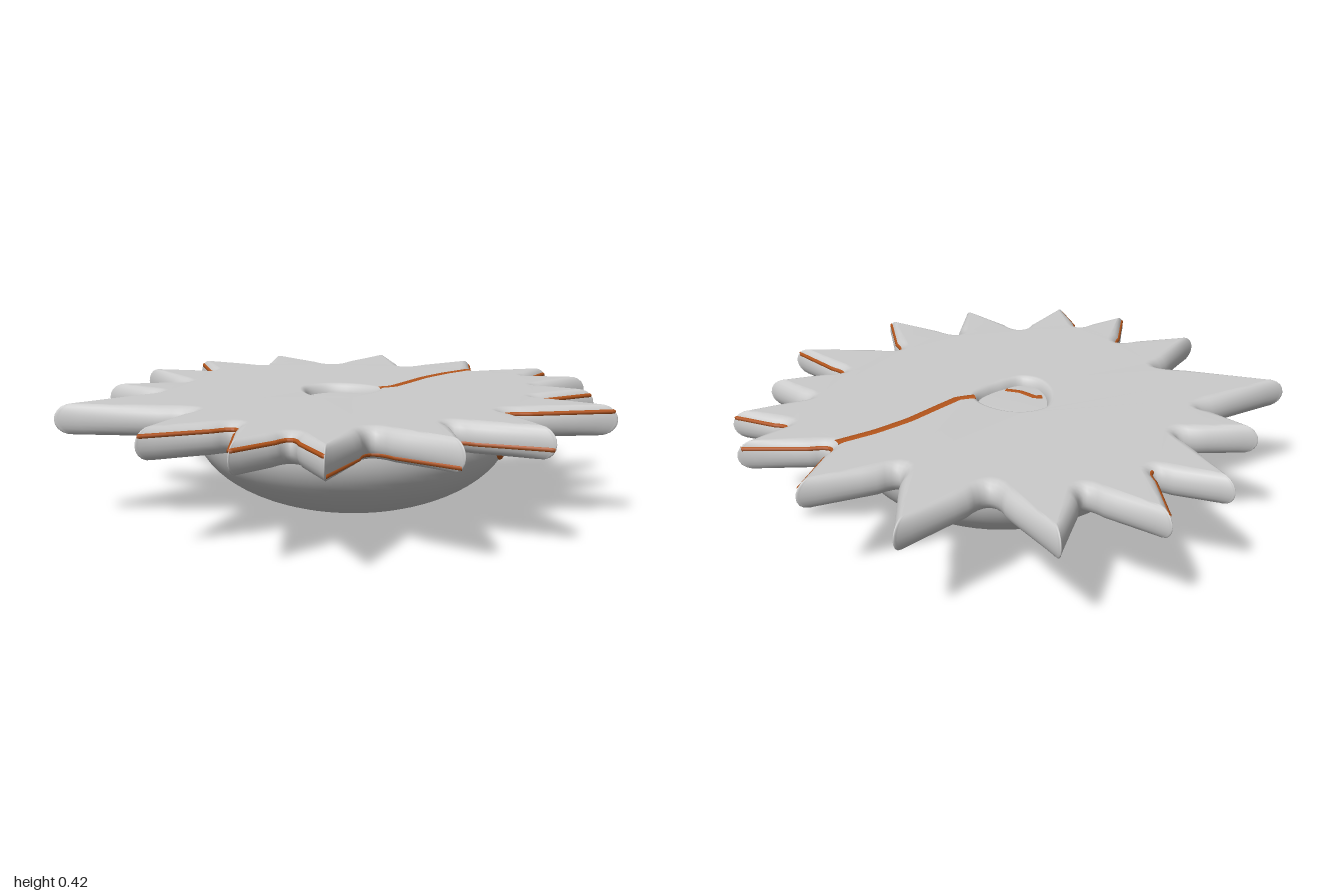
import * as THREE from 'three';

const grey = new THREE.MeshStandardMaterial({ color: 0xcccccc });
const orange = new THREE.MeshStandardMaterial({ color: 0xb5561c });
const V2 = (x, z) => new THREE.Vector2(x, z);

// Alternating tooth tips and valleys of the plate, in (x, z)
const CORNERS = [
  [0.045, -0.97], [0.2, -0.645], [0.51, -0.84], [0.46, -0.48], [0.785, -0.535], [0.675, -0.28],
  [0.975, -0.22], [0.82, -0.09], [1, 0.03], [0.745, 0.12], [0.875, 0.295], [0.615, 0.345],
  [0.78, 0.595], [0.39, 0.535], [0.39, 0.86], [0.135, 0.66], [0.055, 0.925], [-0.135, 0.67],
  [-0.36, 0.89], [-0.385, 0.655], [-0.595, 0.735], [-0.505, 0.455], [-0.81, 0.45], [-0.585, 0.18],
  [-1, -0.045], [-0.63, -0.2], [-0.76, -0.415], [-0.485, -0.39], [-0.555, -0.75], [-0.33, -0.635],
  [-0.3, -0.915], [-0.08, -0.715],
].map((c) => V2(...c));
const HOLE = [[-0.11, 0.04], [-0.1, -0.05], [-0.07, -0.11], [0, -0.13], [0.07, -0.1], [0.125, -0.03],
  [0.13, 0.03], [0.08, 0.08], [0.03, 0.11], [-0.04, 0.14], [-0.09, 0.11]];

const MID = 0.367, HALF = 0.053; // plate mid-height and half thickness
const K = 9, S = 4; // points per rounded corner, points per straight side

// Rounded outline; every point carries the inset that shapes the soft rim
function toothOutline() {
  const n = CORNERS.length, corners = [];
  CORNERS.forEach((c, i) => {
    const prev = CORNERS[(i + n - 1) % n], next = CORNERS[(i + 1) % n];
    const tip = i % 2 === 0, f = tip ? 0.04 : 0.23;
    const a = c.clone().lerp(prev, f), b = c.clone().lerp(next, f);
    const ctrl = c.clone().multiplyScalar(2).sub(a.clone().add(b).multiplyScalar(0.5));
    const curve = new THREE.QuadraticBezierCurve(a, ctrl, b);
    const axis = prev.clone().add(next).multiplyScalar(0.5).sub(c).normalize();
    const row = [];
    for (let k = 0; k < K; k++) {
      const p = curve.getPoint(k / (K - 1)), t = curve.getTangent(k / (K - 1));
      const inset = tip ? axis.clone().multiplyScalar(0.06)
        : V2(-t.y, t.x).multiplyScalar(0.03).addScaledVector(p.clone().normalize(), -0.02);
      row.push({ p, inset });
    }
    corners.push(row);
  });
  const out = [];
  corners.forEach((row, i) => {
    out.push(...row);
    const a = row[K - 1], b = corners[(i + 1) % n][0];
    for (let s = 1; s <= S; s++) {
      const t = s / (S + 1);
      out.push({ p: a.p.clone().lerp(b.p, t), inset: a.inset.clone().lerp(b.inset, t) });
    }
  });
  return out;
}

// Hole runs the other way round, so its wall faces inwards
function holeOutline() {
  const curve = new THREE.CatmullRomCurve3(HOLE.map(([x, z]) => new THREE.Vector3(x, 0, z)), true);
  return curve.getPoints(48).slice(0, 48).reverse().map((v) => {
    const p = V2(v.x, v.z);
    return { p, inset: p.clone().normalize().multiplyScalar(0.03) };
  });
}

const rimPoint = ({ p, inset }, sin) => {
  const q = p.clone().addScaledVector(inset, 1 - Math.sqrt(Math.max(0, 1 - sin * sin)));
  return new THREE.Vector3(q.x, MID + HALF * sin, q.y);
};

// Plate: rounded walls around both outlines, closed by two flat caps
function plateGeometry(outer, hole) {
  const pos = [], index = [], R = 10, starts = [];
  for (const loop of [outer, hole]) {
    const n = loop.length, base = pos.length / 3;
    starts.push(base);
    for (let j = 0; j <= R; j++) {
      const sin = Math.sin((j / R - 0.5) * Math.PI);
      loop.forEach((o) => pos.push(...rimPoint(o, sin).toArray()));
    }
    for (let j = 0; j < R; j++) for (let i = 0; i < n; i++) {
      const a = base + j * n + i, b = base + j * n + (i + 1) % n;
      index.push(a, a + n, b + n, a, b + n, b);
    }
  }
  const flat = (loop) => loop.map((o) => o.p.clone().add(o.inset));
  const A = flat(outer), B = flat(hole), all = [...A, ...B];
  const id = (k, j) => (k < A.length ? starts[0] + j * A.length + k : starts[1] + j * B.length + k - A.length);
  for (let [a, b, c] of THREE.ShapeUtils.triangulateShape(A, [B])) {
    const u = all[b].clone().sub(all[a]), v = all[c].clone().sub(all[a]);
    if (u.y * v.x - u.x * v.y < 0) [b, c] = [c, b];
    index.push(id(a, R), id(b, R), id(c, R), id(a, 0), id(c, 0), id(b, 0));
  }
  const g = new THREE.BufferGeometry();
  g.setAttribute('position', new THREE.Float32BufferAttribute(pos, 3));
  g.setIndex(index);
  g.computeVertexNormals();
  return g;
}

// Orange line lying on a surface; squash flattens it vertically
function line(points, radius, squash = 1) {
  const path = new THREE.CurvePath();
  const pts = points.map((p) => new THREE.Vector3(p.x, p.y / squash, p.z));
  for (let i = 1; i < pts.length; i++) path.add(new THREE.LineCurve3(pts[i - 1], pts[i]));
  const g = new THREE.TubeGeometry(path, pts.length * 3, radius, 6);
  return g.scale(1, squash, 1);
}

export function createModel() {
  const model = new THREE.Group();
  const add = (name, geometry, material) => {
    const m = new THREE.Mesh(geometry, material);
    m.name = name;
    model.add(m);
    return m;
  };

  const outer = toothOutline();
  add('toothedPlate', plateGeometry(outer, holeOutline()), grey);

  // Bowl: deep half ellipse below, shallow dome inside the plate
  const profile = [];
  for (let i = 0; i <= 40; i++) {
    const a = (i / 40 - 0.5) * Math.PI, s = Math.sin(a);
    profile.push(V2(Math.max(0, Math.cos(a)), 0.295 + s * (s < 0 ? 0.295 : 0.095)));
  }
  const bowl = add('bowl', new THREE.LatheGeometry(profile, 64), grey);
  bowl.scale.set(0.565, 1, 0.565);
  bowl.position.set(0.045, 0, 0.02);

  // Lines along the rim: [first corner, last corner, height from -1 to 1]
  const step = K + S;
  for (const [from, to, sin] of [[4, 8, 0.5], [10, 14, 0.55], [14, 16, -0.3], [16, 18, -0.6], [18, 22, 0.5], [29, 30, 0.6]]) {
    const pts = [];
    for (let i = from * step + 4; i <= to * step + 4; i++) {
      const q = rimPoint(outer[i], sin), { inset } = outer[i];
      q.x += inset.x * 0.1;
      q.z += inset.y * 0.1;
      pts.push(q);
    }
    add('rimLine', line(pts, 0.008), orange);
  }

  // Lines across the plate top and the dome in the hole
  const at = (y, list) => list.map(([x, z]) => new THREE.Vector3(x, y, z));
  add('topLine', line(at(0.418, [[0.15, 0.005], [0.21, 0], [0.3, -0.07], [0.4, -0.15], [0.52, -0.22], [0.65, -0.275]]), 0.018, 0.25), orange);
  add('domeLine', line(at(0.386, [[-0.1, 0.03], [-0.075, 0.03], [-0.03, 0.085], [0.02, 0.11]]), 0.016, 0.35), orange);

  // Spot on the side of the bowl
  const spot = add('bowlSpot', new THREE.SphereGeometry(1, 20, 12), orange);
  spot.scale.set(0.055, 0.045, 0.008);
  spot.position.set(0.44, 0.265, 0.418);
  spot.rotation.y = Math.PI / 4;

  return model;
}
